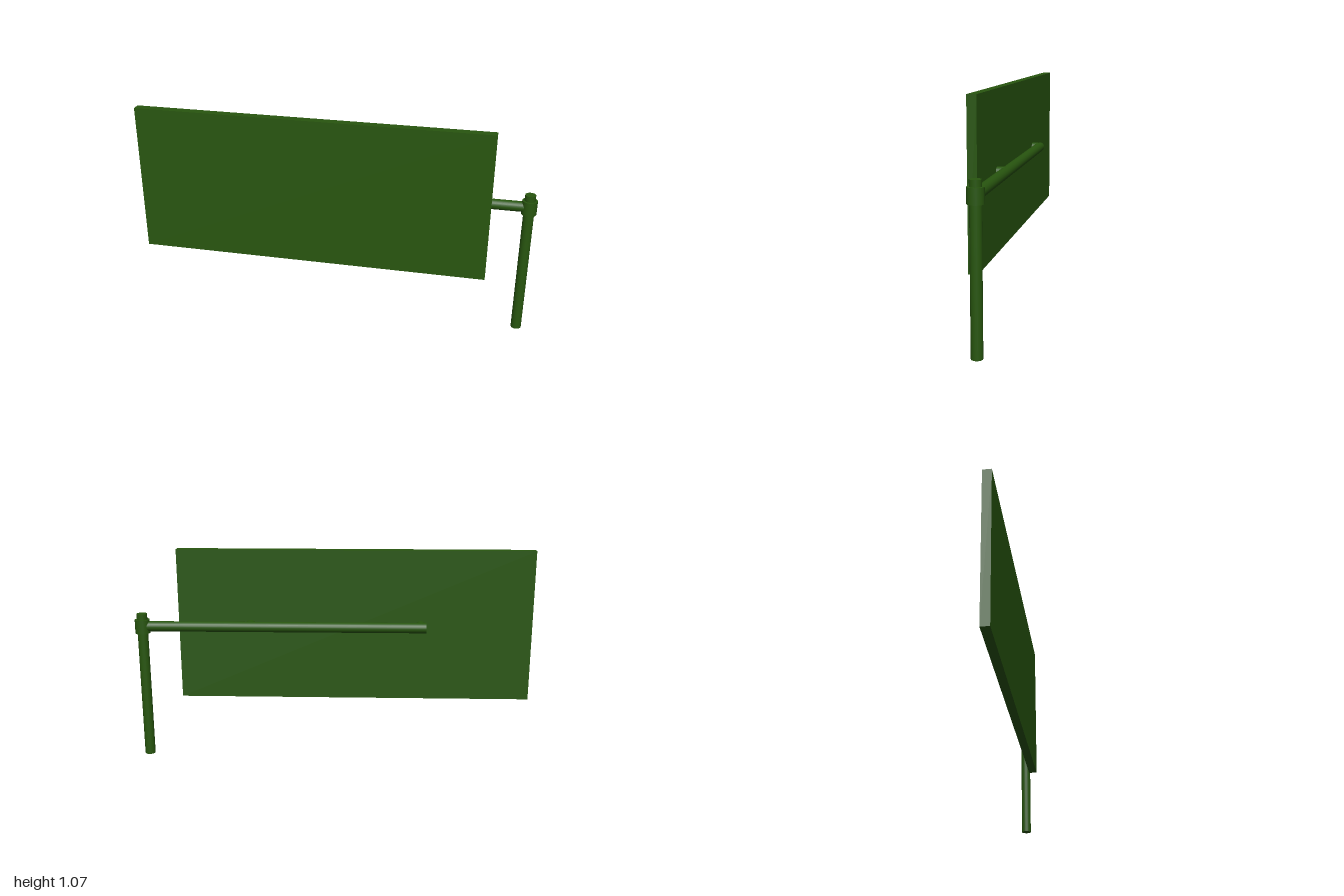
import * as THREE from 'three';

export function createModel() {
  const group = new THREE.Group();
  const green = new THREE.MeshStandardMaterial({ color: 0x28560f });

  // Closed cylinder running between two points
  const rod = (name, from, to, radius) => {
    const a = new THREE.Vector3(...from), b = new THREE.Vector3(...to);
    const mesh = new THREE.Mesh(new THREE.CylinderGeometry(radius, radius, a.distanceTo(b), 20), green);
    mesh.name = name;
    mesh.position.copy(a).add(b).multiplyScalar(0.5);
    mesh.quaternion.setFromUnitVectors(new THREE.Vector3(0, 1, 0), b.sub(a).normalize());
    group.add(mesh);
  };

  // Upright post with the collar that carries the arm
  const postX = 0.963, postZ = -0.038, armY = 0.685;
  rod('post', [postX, 0, postZ], [postX, 0.75, postZ], 0.026);
  rod('collar', [postX, 0.65, postZ], [postX, 0.72, postZ], 0.037);

  // Horizontal arm, swung slightly towards the panel
  const armZ = x => postZ + (postX - x) * 0.0192;
  rod('arm', [postX, armY, postZ], [-0.467, armY, armZ(-0.467)], 0.026);

  // Flat panel, turned slightly about the vertical
  const tilt = 0.0157;
  const panel = new THREE.Mesh(new THREE.BoxGeometry(1.785, 0.767, 0.043), green);
  panel.name = 'panel';
  panel.position.set(-0.1075, 0.686, 0.04);
  panel.rotation.y = tilt;
  group.add(panel);

  // Short mounts between arm and panel
  for (const x of [-0.44, 0.42]) {
    rod('panelMount', [x, armY, armZ(x)], [x, armY, 0.04 - (x + 0.1075) * tilt], 0.028);
  }
  return group;
}
